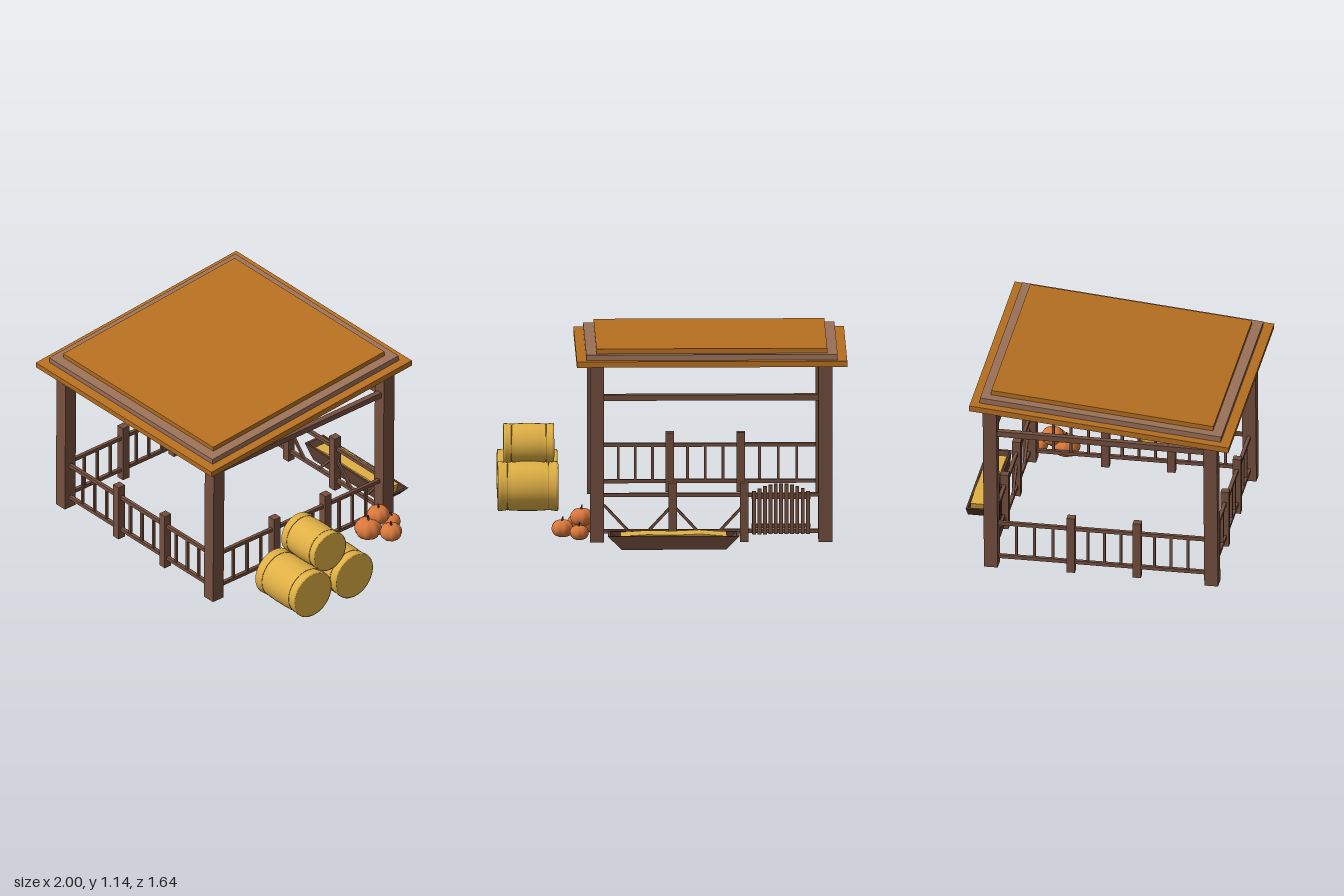
import * as THREE from 'three';

const mat = (color, extra = {}) => new THREE.MeshStandardMaterial({ color, ...extra });
const WOOD = mat(0x75503f), DARK = mat(0x5a3c30), ROOF = mat(0xb87020), ROOF_MID = mat(0x9c7258);
const HAY = mat(0xe0b045), PUMPKIN = mat(0xd9783c);

function add(parent, name, geometry, material, x = 0, y = 0, z = 0) {
  const mesh = new THREE.Mesh(geometry, material);
  mesh.name = name;
  mesh.position.set(x, y, z);
  parent.add(mesh);
  return mesh;
}

const box = (parent, name, material, w, h, d, x, y, z) =>
  add(parent, name, new THREE.BoxGeometry(w, h, d), material, x, y, z);

// Square timber running from point a to point b
function timber(parent, name, a, b, thick, material = WOOD) {
  const from = new THREE.Vector3(...a), to = new THREE.Vector3(...b);
  const mesh = box(parent, name, material, thick, thick, from.distanceTo(to), 0, 0, 0);
  mesh.position.copy(from).add(to).multiplyScalar(0.5);
  mesh.lookAt(to);
  return mesh;
}

function group(parent, name) {
  const g = new THREE.Group();
  g.name = name;
  parent.add(g);
  return g;
}

// Shape in the xy plane extruded along z
function extrude(points, depth) {
  const shape = new THREE.Shape(points.map(p => new THREE.Vector2(...p)));
  return new THREE.ExtrudeGeometry(shape, { depth, bevelEnabled: false });
}

const LEFT = 0.438, RIGHT = -0.874, FRONT = 0.695, BACK = -0.59;

// Two rails from a to b, split by two short posts; fill(bay, p, q) fills each bay
function fence(parent, name, a, b, stops, fill) {
  const g = group(parent, name);
  const at = (t, y) => [a[0] + (b[0] - a[0]) * t, y, a[1] + (b[1] - a[1]) * t];
  for (const y of [0.07, 0.284]) timber(g, 'rail', at(0, y), at(1, y), 0.021);
  for (const t of stops) {
    const [x, , z] = at(t, 0);
    box(g, 'fencePost', WOOD, 0.048, 0.35, 0.048, x, 0.184, z);
  }
  const ends = [0.03, ...stops, 0.97];
  for (let i = 0; i < 3; i++) fill(g, i, ends[i], ends[i + 1], at);
}

function balusters(g, bay, p, q, at) {
  for (let i = 1; i <= 3; i++) {
    const t = p + (q - p) * i / 4;
    timber(g, 'baluster', at(t, 0.07), at(t, 0.284), 0.015);
  }
}

// Back fence: arched picket gate in the first bay, knee braces in the others
function gateAndBraces(g, bay, p, q, at) {
  if (bay === 0) {
    const gate = group(g, 'gate');
    for (let i = 0; i < 11; i++) {
      const u = i / 5 - 1;
      const top = 0.352 - 0.045 * u * u;
      box(gate, 'picket', WOOD, 0.022, top - 0.055, 0.014, -0.62 + u * 0.155, (top + 0.055) / 2, BACK - 0.016);
    }
    for (const y of [0.1, 0.27]) box(gate, 'gateRail', WOOD, 0.34, 0.022, 0.014, -0.62, y, BACK);
    return;
  }
  const run = 0.105;
  timber(g, 'brace', at(p, 0.225), at(p + run, 0.075), 0.015);
  timber(g, 'brace', at(q, 0.225), at(q - run, 0.075), 0.015);
}

function addRoof(root) {
  const g = group(root, 'roof');
  const layers = [
    ['roofBase', ROOF, 1.555, 1.52, 1.007],
    ['roofMiddle', ROOF_MID, 1.445, 1.413, 1.04],
    ['roofTop', ROOF, 1.327, 1.3, 1.068],
  ];
  for (const [name, m, w, d, y] of layers)
    box(g, name, m, w, 0.034, d, -0.222, y, 0.058).rotation.x = 0.0925;
}

function addFrame(root) {
  const g = group(root, 'frame');
  for (const x of [LEFT, RIGHT]) {
    box(g, 'frontPost', WOOD, 0.08, 0.942, 0.08, x, 0.474, FRONT).rotation.x = -0.008;
    box(g, 'backPost', WOOD, 0.08, 1.045, 0.08, x, 0.535, BACK).rotation.x = -0.008;
    timber(g, 'sideBeam', [x, 0.855, FRONT], [x, 0.868, BACK], 0.034);
  }
  timber(g, 'frontBeam', [RIGHT, 0.853, FRONT - 0.005], [LEFT, 0.853, FRONT - 0.005], 0.034);
  timber(g, 'backBeam', [RIGHT, 0.86, BACK], [LEFT, 0.86, BACK], 0.034);
}

function addFences(root) {
  const g = group(root, 'fences');
  fence(g, 'frontFence', [RIGHT, FRONT], [LEFT, FRONT], [0.357, 0.669], balusters);
  fence(g, 'backFence', [RIGHT, BACK], [LEFT, BACK], [0.355, 0.668], gateAndBraces);
  fence(g, 'leftFence', [LEFT, FRONT], [LEFT, BACK], [0.355, 0.655], balusters);
  fence(g, 'rightFence', [RIGHT, FRONT], [RIGHT, BACK], [0.337, 0.637], balusters);
}

// Feeding trough with flared ends, filled with hay
function addTrough(root) {
  const g = group(root, 'trough');
  const y0 = 0.014, y1 = 0.092, zBack = -0.824, depth = 0.14, wall = 0.012;
  const side = extrude([[-0.3, y0], [0.3, y0], [0.378, y1], [-0.378, y1]], wall);
  add(g, 'troughSide', side, DARK, 0, 0, zBack);
  add(g, 'troughSide', side, DARK, 0, 0, zBack + depth - wall);
  box(g, 'troughBottom', DARK, 0.6, 0.012, depth, 0, y0 + 0.006, zBack + depth / 2);
  const end = extrude([[0.285, y0], [0.3, y0], [0.378, y1], [0.362, y1]], depth);
  add(g, 'troughEnd', end, DARK, 0, 0, zBack);
  add(g, 'troughEnd', end, DARK, 0, 0, zBack + depth).rotation.y = Math.PI;
  const hay = extrude([[-0.285, 0.025], [0.285, 0.025], [0.305, 0.09], [0.15, 0.1], [0, 0.096], [-0.15, 0.103], [-0.305, 0.09]], depth - 0.03);
  add(g, 'troughHay', hay, HAY, 0, 0, zBack + 0.015);
}

// Round hay bale lying along x, pinched by two ties
function addBale(parent, x, y, z, r, length) {
  const h = length / 2;
  const half = [[0, 1], [0.95, 1], [1, 0.98], [1, 0.9], [0.965, 0.68]];
  const center = [[0.985, 0.5], [1, 0.2], [1, -0.2], [0.985, -0.5]];
  const profile = [...half, ...center, ...half.map(([a, b]) => [a, -b]).reverse()]
    .map(([a, b]) => new THREE.Vector2(a * r, b * h)).reverse();
  const g = group(parent, 'hayBale');
  g.position.set(x, y, z);
  g.rotation.z = Math.PI / 2;
  // flat ends are separate discs so the rims stay sharp
  add(g, 'baleRoll', new THREE.LatheGeometry(profile.slice(1, -1), 32), HAY);
  for (const s of [1, -1])
    add(g, 'baleEnd', new THREE.CircleGeometry(r * 0.95, 32), HAY, 0, s * h, 0).rotation.x = -s * Math.PI / 2;
  for (const s of [1, -1]) {
    const tie = add(g, 'baleTie', new THREE.TorusGeometry(r * 0.966, 0.0022, 5, 32), mat(0xa87c2c), 0, s * h * 0.68, 0);
    tie.rotation.x = Math.PI / 2;
  }
}

// Ribbed pumpkin with a small stem
function addPumpkin(parent, x, y, z, r, turn) {
  const g = group(parent, 'pumpkin');
  g.position.set(x, y, z);
  g.rotation.y = turn;
  const geo = new THREE.SphereGeometry(r, 40, 12);
  const pos = geo.attributes.position;
  for (let i = 0; i < pos.count; i++) {
    const px = pos.getX(i), py = pos.getY(i), pz = pos.getZ(i);
    const rib = 0.87 + 0.13 * Math.sqrt(Math.abs(Math.cos(Math.atan2(pz, px) * 4)));
    const dimple = 1 - 0.15 * Math.pow(Math.abs(py) / r, 8);
    pos.setXYZ(i, px * rib, py * 0.84 * dimple, pz * rib);
  }
  geo.computeVertexNormals();
  add(g, 'pumpkinBody', geo, PUMPKIN);
  const stem = add(g, 'stem', new THREE.CylinderGeometry(r * 0.05, r * 0.1, r * 0.4, 6), DARK, 0, r * 0.87, 0);
  stem.rotation.z = 0.2;
}

export function createModel() {
  const root = new THREE.Group();
  root.name = 'animalShelter';
  addRoof(root);
  addFrame(root);
  addFences(root);
  addTrough(root);

  const bales = group(root, 'hayBales');
  addBale(bales, 0.826, 0.176, 0.427, 0.143, 0.348);
  addBale(bales, 0.826, 0.176, 0.115, 0.143, 0.348);
  addBale(bales, 0.82, 0.386, 0.27, 0.123, 0.292);

  const pumpkins = group(root, 'pumpkins');
  addPumpkin(pumpkins, 0.53, 0.07, -0.39, 0.08, 0);
  addPumpkin(pumpkins, 0.635, 0.062, -0.472, 0.065, 0.3);
  addPumpkin(pumpkins, 0.54, 0.055, -0.555, 0.055, 0.6);
  addPumpkin(pumpkins, 0.525, 0.128, -0.47, 0.067, 0.2);
  return root;
}
